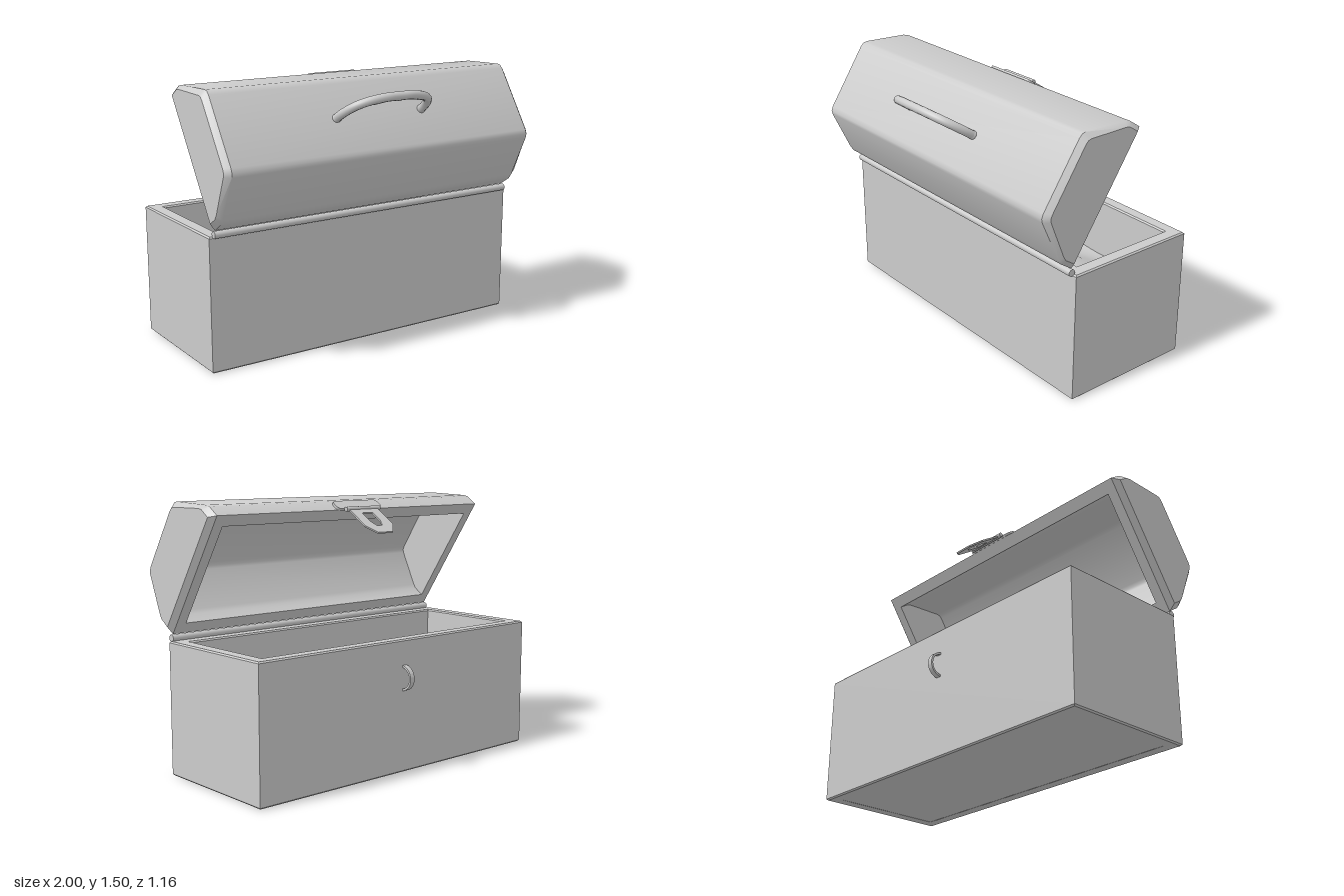
import * as THREE from 'three';
import { toCreasedNormals } from 'three/addons/utils/BufferGeometryUtils.js';

const mat = new THREE.MeshStandardMaterial({ color: 0xcccccc });
const matBoth = new THREE.MeshStandardMaterial({ color: 0xcccccc, side: THREE.DoubleSide });

function add(parent, name, geo, x = 0, y = 0, z = 0, m = mat) {
  const mesh = new THREE.Mesh(geo, m);
  mesh.name = name;
  mesh.position.set(x, y, z);
  parent.add(mesh);
  return mesh;
}

const poly = (pts) => pts.map(([x, y]) => new THREE.Vector2(x, y));
const rect = (w, d) => poly([[-w, -d], [w, -d], [w, d], [-w, d]]);

// Rod along x
function rod(r, len) {
  return new THREE.CylinderGeometry(r, r, len, 16).rotateZ(Math.PI / 2);
}

// Lid shell: half-octagon section with chamfered ends, hollow, open at the rim.
// Profile points are [distance from hinge edge, height above rim].
const DEPTH = 0.79;
function lidGeometry() {
  const half = [[0, 0], [0, 0.08], [0.012, 0.11], [0.152, 0.338], [0.168, 0.354], [0.195, 0.36]];
  const outer = [...half, ...half.map(([u, v]) => [DEPTH - u, v]).reverse()];
  const scaled = (su, sv, cv) => outer.map(([u, v]) =>
    [DEPTH / 2 + (u - DEPTH / 2) * su, cv + (v - cv) * sv]);
  const end = scaled(0.925, 0.84, 0.18);
  const inner = scaled(0.82, 0.85, 0);
  const pos = [];
  const at = (x, [u, v]) => [x, v, -u];
  const tri = (a, b, c, flip) => pos.push(...a, ...(flip ? c : b), ...(flip ? b : c));
  const quad = (a, b, c, d, flip) => { tri(a, b, c, flip); tri(a, c, d, flip); };
  const strip = (x0, p, x1, q, closed, flip) => {
    const n = p.length;
    for (let i = 0; i < (closed ? n : n - 1); i++) {
      const j = (i + 1) % n;
      quad(at(x0, p[i]), at(x1, q[i]), at(x1, q[j]), at(x0, p[j]), flip);
    }
  };
  const cap = (x, p, flip) => {
    for (let i = 1; i < p.length - 1; i++) tri(at(x, p[0]), at(x, p[i]), at(x, p[i + 1]), flip);
  };
  const X = 0.97, XI = 0.91;
  strip(-1, end, -X, outer, true, false);
  strip(-X, outer, X, outer, false, false);
  strip(X, outer, 1, end, true, false);
  cap(-1, end, false);
  cap(1, end, true);
  // Cavity
  strip(-XI, inner, XI, inner, false, true);
  cap(-XI, inner, true);
  cap(XI, inner, false);
  // Rim frame
  const ring = (x, p) => [at(-x, p[0]), at(x, p[0]), at(x, p[p.length - 1]), at(-x, p[p.length - 1])];
  const o = ring(X, outer), n = ring(XI, inner);
  for (let k = 0; k < 4; k++) quad(o[k], o[(k + 1) % 4], n[(k + 1) % 4], n[k], true);

  const geo = new THREE.BufferGeometry();
  geo.setAttribute('position', new THREE.Float32BufferAttribute(pos, 3));
  return toCreasedNormals(geo, 0.7);
}

// Box walls with softened edges
function wallsGeometry() {
  const b = 0.008;
  const shape = new THREE.Shape(rect(1 - b, 0.3975 - b));
  shape.holes.push(new THREE.Path(rect(0.92 + b, 0.32 + b).reverse()));
  return new THREE.ExtrudeGeometry(shape, {
    depth: 0.75 - 2 * b, bevelEnabled: true, bevelSize: b, bevelThickness: b, bevelSegments: 1,
  }).rotateX(-Math.PI / 2).translate(0, b, 0);
}

// Draped cloth: low at the walls, with soft mounds
function clothGeometry() {
  const geo = new THREE.PlaneGeometry(1.86, 0.66, 60, 24).rotateX(-Math.PI / 2);
  const p = geo.attributes.position;
  const mounds = [[0.55, 0.08, 0.14], [-0.2, 0.1, 0.13], [-0.68, 0.06, 0.11]];
  for (let i = 0; i < p.count; i++) {
    const x = p.getX(i), z = p.getZ(i);
    let y = 0.42;
    for (const [cx, cz, h] of mounds) {
      y += h * Math.exp(-(((x - cx) / 0.25) ** 2) - ((z - cz) / 0.22) ** 2);
    }
    y += 0.012 * Math.sin(x * 9 + z * 8) * Math.cos(z * 7 - x * 2);
    p.setY(i, y);
  }
  geo.computeVertexNormals();
  return geo;
}

// Carrying handle: arch rising from the lid top
function handleGeometry() {
  const side = [[0.28, 0.355], [0.272, 0.42], [0.235, 0.5], [0.17, 0.55], [0.085, 0.575]];
  const pts = [...side.map(([x, y]) => [-x, y]), [0, 0.577], ...side.slice().reverse()];
  const curve = new THREE.CatmullRomCurve3(pts.map(([x, y]) => new THREE.Vector3(x, y, 0)));
  const geo = new THREE.TubeGeometry(curve, 48, 0.024, 12);
  // Shallow finger grips on the underside
  const p = geo.attributes.position;
  for (let i = 0; i < p.count; i++) {
    const x = p.getX(i), y = p.getY(i);
    if (Math.abs(x) < 0.15 && y < 0.565) p.setY(i, y - 0.008 * (1 + Math.cos(x * 42)) / 2);
  }
  geo.computeVertexNormals();
  return geo;
}

// Latch mounting plate with rounded corners
function mountGeometry() {
  const w = 0.165, h = 0.035, r = 0.022, s = new THREE.Shape();
  s.absarc(w - r, h - r, r, 0, Math.PI / 2);
  s.absarc(-w + r, h - r, r, Math.PI / 2, Math.PI);
  s.absarc(-w + r, -h + r, r, Math.PI, Math.PI * 1.5);
  s.absarc(w - r, -h + r, r, Math.PI * 1.5, Math.PI * 2);
  return new THREE.ExtrudeGeometry(s, { depth: 0.014, bevelEnabled: false, curveSegments: 6 });
}

// Latch flap with slot
function flapGeometry() {
  const s = new THREE.Shape(poly([[-0.105, 0], [-0.105, -0.15], [-0.055, -0.215],
    [0.055, -0.215], [0.105, -0.15], [0.105, 0]]));
  s.holes.push(new THREE.Path(poly([[-0.04, -0.035], [0.04, -0.035], [0.04, -0.11],
    [0.02, -0.155], [-0.02, -0.155], [-0.04, -0.11]])));
  return new THREE.ExtrudeGeometry(s, { depth: 0.01, bevelEnabled: false });
}

// Half-ring staple bulging toward -z
function stapleGeometry() {
  const s = new THREE.Shape();
  s.absarc(0, 0, 0.072, -Math.PI / 2, Math.PI / 2, false);
  s.absarc(0, 0, 0.06, Math.PI / 2, -Math.PI / 2, true);
  const geo = new THREE.ExtrudeGeometry(s, { depth: 0.03, bevelEnabled: false, curveSegments: 16 });
  return toCreasedNormals(geo.translate(0, 0, -0.015).rotateY(Math.PI / 2), 0.6);
}

export function createModel() {
  const root = new THREE.Group();
  root.name = 'openToolChest';

  const box = new THREE.Group();
  box.name = 'box';
  box.position.z = -0.1275;
  root.add(box);
  add(box, 'walls', wallsGeometry());
  add(box, 'floor', new THREE.BoxGeometry(1.86, 0.05, 0.66), 0, 0.026, 0);
  add(box, 'cloth', clothGeometry(), 0, 0, 0, matBoth);
  add(box, 'staple', stapleGeometry(), 0, 0.535, -0.39);

  add(root, 'hingeRod', rod(0.02, 1.96), 0, 0.763, 0.282);

  // Lid group pivots at the hinge edge; local y is up from the rim, -z runs to the latch
  const lid = new THREE.Group();
  lid.name = 'lid';
  lid.position.set(0, 0.785, 0.28);
  lid.rotation.x = 0.988;
  root.add(lid);
  add(lid, 'lidShell', lidGeometry());
  add(lid, 'handle', handleGeometry(), 0, 0, -DEPTH / 2);
  for (const x of [-0.28, 0.28]) {
    add(lid, 'handleFoot', new THREE.SphereGeometry(0.025, 12, 8), x, 0.362, -DEPTH / 2);
  }
  add(lid, 'latchMount', mountGeometry(), 0, 0.03, -DEPTH - 0.014);
  add(lid, 'latchRod', rod(0.013, 0.25), 0, -0.02, -DEPTH - 0.019);
  add(lid, 'latchFlap', flapGeometry(), 0, -0.03, -DEPTH - 0.023);
  return root;
}
